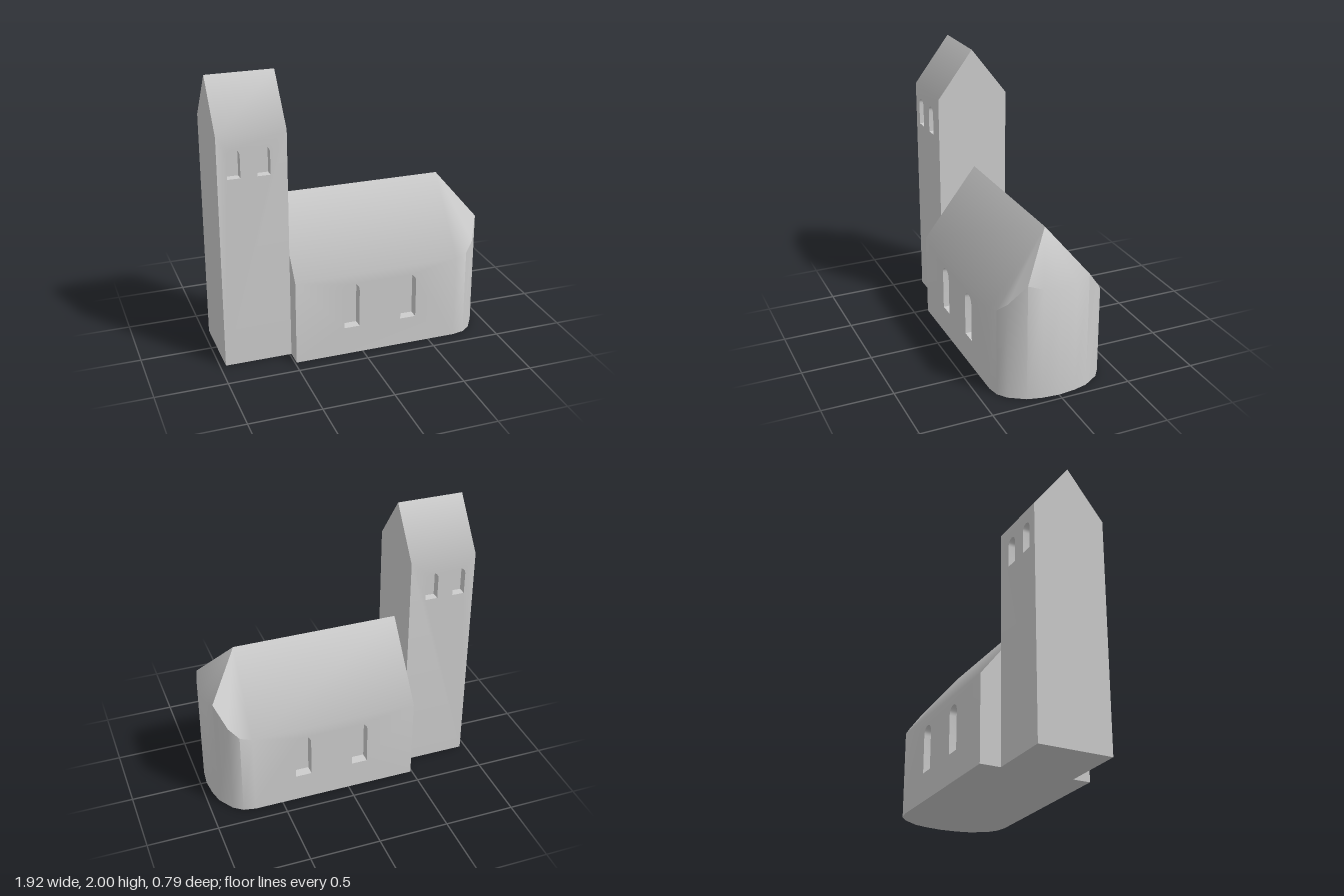
import * as THREE from 'three';
import { toCreasedNormals } from 'three/addons/utils/BufferGeometryUtils.js';

const stone = new THREE.MeshStandardMaterial({ color: 0xcccccc });
stone.name = 'pale stone';

// Collects planar faces; corners run counter-clockwise seen from outside
function makeShell() {
  const pos = [];
  const face = (pts, flip = false) => {
    const p = flip ? [...pts].reverse() : pts;
    for (let i = 1; i < p.length - 1; i++) pos.push(...p[0], ...p[i], ...p[i + 1]);
  };
  // Flat shape in the xy plane, set at depth z
  const plate = (shape, z, flip) => {
    const g = new THREE.ShapeGeometry(shape, 6).toNonIndexed();
    const a = g.attributes.position;
    for (let i = 0; i < a.count; i += 3) {
      face([0, 1, 2].map(k => [a.getX(i + k), a.getY(i + k), z]), flip);
    }
  };
  // Long wall with round-headed niches
  const wall = (x0, x1, y1, z, windows, depth) => {
    const flip = z < 0, zin = z - Math.sign(z) * depth;
    const shape = new THREE.Shape([[x0, 0], [x1, 0], [x1, y1], [x0, y1]].map(p => new THREE.Vector2(...p)));
    for (const w of windows) {
      const pts = archPoints(...w);
      shape.holes.push(new THREE.Path(pts));
      plate(new THREE.Shape(pts), zin, flip);
      pts.forEach((p, i) => {
        const q = pts[(i + 1) % pts.length];
        face([[p.x, p.y, z], [q.x, q.y, z], [q.x, q.y, zin], [p.x, p.y, zin]], flip);
      });
    }
    plate(shape, z, flip);
  };
  const mesh = name => {
    const g = new THREE.BufferGeometry();
    g.setAttribute('position', new THREE.Float32BufferAttribute(pos, 3));
    const m = new THREE.Mesh(toCreasedNormals(g, Math.PI / 4), stone);
    m.name = name;
    return m;
  };
  return { face, wall, mesh };
}

// Outline of a round-headed window, counter-clockwise
function archPoints(x0, x1, y0, y1) {
  const r = (x1 - x0) / 2, cx = (x0 + x1) / 2, cy = y1 - r;
  const pts = [new THREE.Vector2(x0, y0), new THREE.Vector2(x1, y0)];
  for (let i = 0; i <= 10; i++) {
    const t = i * Math.PI / 10;
    pts.push(new THREE.Vector2(cx + r * Math.cos(t), cy + r * Math.sin(t)));
  }
  return pts;
}

// Saddle-roofed bell tower
function makeTower() {
  const s = makeShell();
  const x0 = -0.96, x1 = -0.488, zf = 0.27, zb = -0.25, zr = 0.01, eave = 1.66, top = 2;
  const windows = [[-0.893, -0.805, 1.365, 1.565], [-0.692, -0.603, 1.365, 1.565]];
  for (const z of [zf, zb]) {
    s.wall(x0, x1, eave, z, windows, 0.06);
    s.face([[x0, eave, z], [x1, eave, z], [x1, top, zr], [x0, top, zr]], z < 0);
  }
  for (const x of [x0, x1]) {
    s.face([[x, 0, zf], [x, 0, zb], [x, eave, zb], [x, top, zr], [x, eave, zf]], x === x0);
  }
  s.face([[x0, 0, zb], [x1, 0, zb], [x1, 0, zf], [x0, 0, zf]]);
  return s.mesh('tower');
}

// Nave with a rounded, hipped apse
function makeNave() {
  const s = makeShell();
  const x0 = -0.488, x1 = 0.70, hw = 0.395, eave = 0.61, top = 1.12;
  const slope = (top - eave) / hw;
  const windows = [[-0.138, -0.025, 0.205, 0.54], [0.282, 0.397, 0.205, 0.54]];
  for (const z of [hw, -hw]) {
    s.wall(x0, x1, eave, z, windows, 0.07);
    s.face([[x0, eave, z], [x1, eave, z], [x1, top, 0], [x0, top, 0]], z < 0);
  }
  s.face([[x0, 0, -hw], [x0, 0, hw], [x0, eave, hw], [x0, top, 0], [x0, eave, -hw]]);

  // Apse plan from the front wall round to the back wall
  const half = [[x1, hw], [0.785, 0.378], [0.85, 0.33], [0.92, 0.22], [0.945, 0.12]];
  const plan = [...half, [0.957, 0], ...half.map(([x, z]) => [x, -z]).reverse()];
  const roofY = ([x, z]) => top - slope * Math.max(Math.abs(z), x - x1);
  for (let i = 0; i < plan.length - 1; i++) {
    const a = plan[i], b = plan[i + 1];
    const ta = [a[0], roofY(a), a[1]], tb = [b[0], roofY(b), b[1]];
    s.face([[a[0], 0, a[1]], [b[0], 0, b[1]], tb, ta]);
    s.face([ta, tb, [x1, top, 0]]);
  }
  // Underside
  s.face([[x0, 0, hw], [x0, 0, -hw], ...[...plan].reverse().map(([x, z]) => [x, 0, z])]);
  return s.mesh('naveAndApse');
}

export function createModel() {
  const church = new THREE.Group();
  church.name = 'church';
  church.add(makeTower(), makeNave());
  return church;
}
